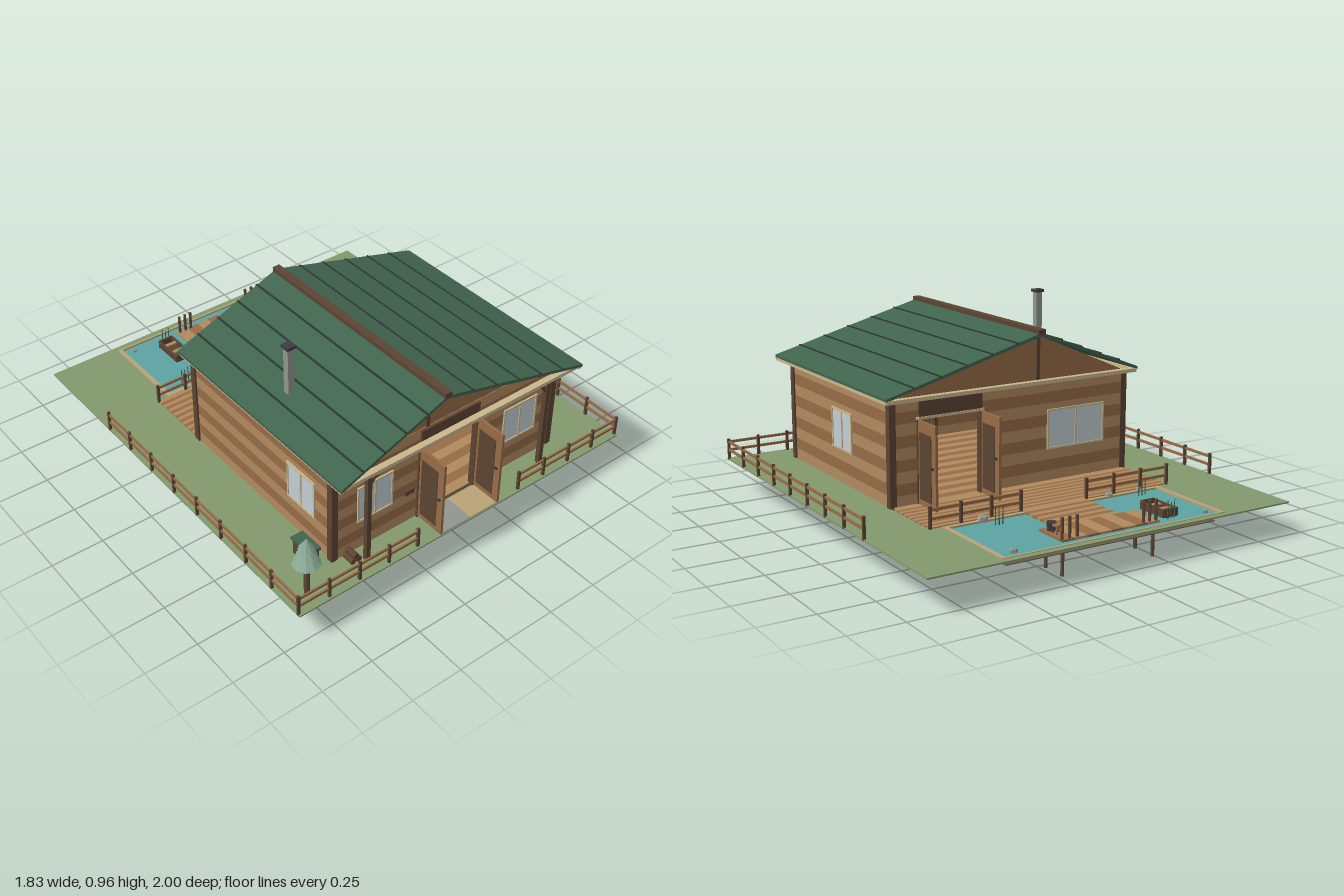
import * as THREE from 'three';

const C = { light: 0xb08a5e, mid: 0x976c46, dark: 0x5c4433, trim: 0xc9b68c, roof: 0x40644f, seam: 0x2c3a32,
  grass: 0x82986c, water: 0x5da3a3, sand: 0xb8a377, bed: 0x6b5c48, glass: 0xc3ced3, grey: 0x90958f, black: 0x3a3d40, soil: 0x3a2a20, pine: 0x86a693 };
const mats = {};
const mat = (c) => (mats[c] ??= new THREE.MeshStandardMaterial({ color: c, flatShading: true, side: THREE.DoubleSide }));

function add(parent, name, geo, color, x = 0, y = 0, z = 0) {
  const m = new THREE.Mesh(geo, mat(color));
  m.name = name;
  m.position.set(x, y, z);
  parent.add(m);
  return m;
}
// Box given by its limits on each axis
function box(p, name, color, x0, x1, y0, y1, z0, z1) {
  return add(p, name, new THREE.BoxGeometry(x1 - x0, y1 - y0, z1 - z0), color, (x0 + x1) / 2, (y0 + y1) / 2, (z0 + z1) / 2);
}
function cyl(p, name, color, x, y0, y1, z, r0, r1 = r0, n = 8) {
  return add(p, name, new THREE.CylinderGeometry(r1, r0, y1 - y0, n), color, x, (y0 + y1) / 2, z);
}
function prism(p, name, color, pts, z0, z1) {
  const s = new THREE.Shape(pts.map(([x, y]) => new THREE.Vector2(x, y)));
  return add(p, name, new THREE.ExtrudeGeometry(s, { depth: z1 - z0, bevelEnabled: false }), color, 0, 0, z0);
}
// Rectangle outline in plan (z flipped, because the shape is laid flat)
function plan(x0, x1, z0, z1, T = THREE.Path) {
  return new T([[x0, -z1], [x1, -z1], [x1, -z0], [x0, -z0]].map(([x, y]) => new THREE.Vector2(x, y)));
}
function flatRing(p, name, color, outer, holes, y, t) {
  const s = plan(...outer, THREE.Shape);
  holes.forEach((h) => s.holes.push(plan(...h)));
  const m = add(p, name, new THREE.ExtrudeGeometry(s, { depth: t, bevelEnabled: false }), color, 0, y, 0);
  m.rotation.x = -Math.PI / 2;
}
function group(p, name) {
  const g = new THREE.Group();
  g.name = name;
  p.add(g);
  return g;
}

// Wall of striped boards; axis 'x' or 'z', with an optional doorway [a, b, top]
function wall(p, name, axis, a, b, at, door) {
  const g = group(p, name), n = 9, y0 = 0.155, y1 = 0.635, t = 0.01;
  const cuts = Array.from({ length: n + 1 }, (_, i) => y0 + ((y1 - y0) * i) / n);
  if (door) cuts.push(door[2]);
  cuts.sort((u, v) => u - v);
  for (let i = 0; i < cuts.length - 1; i++) {
    const [lo, hi] = [cuts[i], cuts[i + 1]];
    const course = Math.floor(((lo + hi) / 2 - y0) / ((y1 - y0) / n));
    const spans = door && lo < door[2] - 1e-6 ? [[a, door[0]], [door[1], b]] : [[a, b]];
    for (const [s, e] of spans) {
      const col = course % 2 ? C.mid : C.light;
      if (axis === 'x') box(g, 'board', col, s, e, lo, hi, at - t, at + t);
      else box(g, 'board', col, at - t, at + t, lo, hi, s, e);
    }
  }
}

// Framed two-pane window centred on a wall
function windowUnit(p, x, y, z, w, h, turn) {
  const g = group(p, 'window');
  box(g, 'glass', C.glass, -w / 2, w / 2, -h / 2, h / 2, -0.013, 0.013);
  for (const s of [-1, 0, 1]) box(g, 'upright', C.trim, s * w / 2 - 0.004, s * w / 2 + 0.004, -h / 2, h / 2, -0.017, 0.017);
  for (const s of [-1, 1]) box(g, 'rail', C.trim, -w / 2 - 0.004, w / 2 + 0.004, s * h / 2 - 0.004, s * h / 2 + 0.004, -0.018, 0.018);
  g.position.set(x, y, z);
  if (turn) g.rotation.y = Math.PI / 2;
}

// Doorway frame with two leaves swung outwards
function doorway(p, name, x0, x1, zw, dir) {
  const g = group(p, name), zr = (a, b) => [zw + dir * a, zw + dir * b].sort((u, v) => u - v);
  for (const x of [x0, x1]) {
    box(g, 'jamb', C.dark, x - 0.01, x + 0.01, 0.155, 0.545, zw - 0.016, zw + 0.016);
    box(g, 'doorLeaf', C.mid, x - 0.006, x + 0.006, 0.163, 0.54, ...zr(0.012, 0.165));
    box(g, 'doorPanel', C.dark, x - 0.009, x + 0.009, 0.19, 0.49, ...zr(0.03, 0.13));
    box(g, 'handle', C.black, x - 0.015, x + 0.015, 0.345, 0.355, ...zr(0.138, 0.152));
  }
  box(g, 'lintel', C.trim, x0 - 0.01, x1 + 0.01, 0.54, 0.552, zw - 0.018, zw + 0.018);
  box(g, 'transom', C.dark, x0, x1, 0.552, 0.628, zw - 0.015, zw + 0.015);
}

// Two-rail fence between two plan points
function fence(p, xa, za, xb, zb, n) {
  const g = group(p, 'fence'), len = Math.hypot(xb - xa, zb - za);
  for (let i = 0; i <= n; i++) box(g, 'fencePost', C.dark, i * len / n - 0.006, i * len / n + 0.006, 0.15, 0.255, -0.006, 0.006);
  for (const y of [0.2, 0.24]) box(g, 'fenceRail', C.mid, 0, len, y - 0.006, y + 0.006, -0.004, 0.004);
  g.position.set(xa, 0, za);
  g.rotation.y = -Math.atan2(zb - za, xb - xa);
}

export function createModel() {
  const root = new THREE.Group();
  root.name = 'lakeCabin';

  // Grounds and pond
  flatRing(root, 'lawn', C.grass, [-0.92, 0.91, -1, 1], [[-0.63, 0.62, -0.5, 0.84], [-0.57, 0.56, -0.97, -0.51]], 0.149, 0.007);
  flatRing(root, 'pondBank', C.sand, [-0.575, 0.56, -0.97, -0.505], [[-0.553, 0.538, -0.96, -0.525]], 0.145, 0.014);
  box(root, 'water', C.water, -0.555, 0.54, 0.144, 0.15, -0.962, -0.523);
  box(root, 'pondBed', C.bed, -0.54, 0.53, 0.117, 0.121, -0.95, -0.53);
  box(root, 'doorstepStone', C.grey, -0.17, 0, 0.15, 0.16, 0.85, 0.995);
  box(root, 'doorstepSand', C.sand, 0, 0.155, 0.15, 0.16, 0.85, 0.995);

  // Floor, deck and dock
  const deck = group(root, 'deck');
  box(deck, 'houseBase', C.soil, -0.63, 0.62, 0.14, 0.152, -0.2, 0.84);
  box(deck, 'deckBase', C.dark, -0.63, 0.62, 0.14, 0.152, -0.5, -0.2);
  const planksZ = (name, x0, x1, z0, z1, n) => {
    const d = (z1 - z0) / n;
    for (let i = 0; i < n; i++) box(deck, name, i % 2 ? C.mid : C.light, x0, x1, 0.152, 0.162, z0 + i * d, z0 + (i + 1) * d);
  };
  planksZ('floorPlank', -0.62, 0.61, -0.2, 0.83, 21);
  planksZ('deckPlank', -0.63, 0.62, -0.5, -0.2, 15);
  planksZ('dockPlank', -0.17, 0.16, -0.75, -0.5, 9);
  for (let i = 0; i < 8; i++) box(deck, 'headPlank', i % 2 ? C.mid : C.light, -0.26 + i * 0.0625, -0.26 + (i + 1) * 0.0625, 0.152, 0.162, -0.92, -0.75);
  for (const x of [-0.165, 0.145]) for (const z of [-0.375, -0.54, -0.625]) cyl(deck, 'pile', C.dark, x, 0, 0.155, z, 0.008);
  for (const x of [-0.24, 0.225]) for (const z of [-0.78, -0.9]) cyl(deck, 'pile', C.dark, x, 0, 0.155, z, 0.008);
  for (const x of [-0.505, -0.25, 0.245, 0.49]) cyl(deck, 'stubPile', C.dark, x, 0.08, 0.155, -0.19, 0.009);
  for (const x of [-0.245, -0.212, -0.18, 0.16, 0.198, 0.235]) cyl(deck, 'mooringPost', C.dark, x, 0.155, 0.255, -0.91, 0.007);

  // Walls with corner posts, windows and doorways
  const house = group(root, 'house');
  wall(house, 'frontWall', 'x', -0.62, 0.61, 0.83, [-0.17, 0.155, 0.545]);
  wall(house, 'backWall', 'x', -0.62, 0.61, -0.165, [0.165, 0.485, 0.545]);
  wall(house, 'rightWall', 'z', -0.155, 0.82, -0.62);
  wall(house, 'leftWall', 'z', -0.155, 0.82, 0.61);
  for (const x of [-0.622, 0.612]) for (const z of [-0.16, 0.828]) box(house, 'cornerPost', C.dark, x - 0.016, x + 0.016, 0.15, 0.635, z - 0.016, z + 0.016);
  windowUnit(house, -0.41, 0.4, 0.83, 0.18, 0.18);
  windowUnit(house, 0.41, 0.4, 0.83, 0.19, 0.18);
  windowUnit(house, -0.345, 0.405, -0.165, 0.31, 0.18);
  windowUnit(house, 0.61, 0.41, 0.295, 0.19, 0.18, true);
  windowUnit(house, -0.62, 0.41, 0.63, 0.18, 0.18, true);
  doorway(house, 'frontDoorway', -0.17, 0.155, 0.835, 1);
  doorway(house, 'backDoorway', 0.165, 0.485, -0.168, -1);

  // Porch posts with braces, eaves beams
  for (const [x, s] of [[-0.505, 1], [0.49, -1]]) {
    box(house, 'porchPost', C.dark, x - 0.011, x + 0.011, 0.14, 0.635, 0.9, 0.922);
    const b = add(house, 'brace', new THREE.BoxGeometry(0.014, 0.1, 0.014), C.dark, x + s * 0.03, 0.595, 0.911);
    b.rotation.z = -s * 0.7;
  }
  for (const z of [-0.195, 0.925]) box(house, 'eavesBeam', C.trim, -0.67, 0.655, 0.628, 0.645, z - 0.015, z + 0.015);
  for (const x of [-0.665, 0.65]) box(house, 'gutter', C.trim, x - 0.008, x + 0.008, 0.628, 0.642, -0.2, 0.945);

  // Roof with uneven slopes, lap seams and ridge cap
  const roof = group(house, 'roof'), rx = -0.135, ry = 0.865;
  for (const z of [-0.165, 0.83]) {
    prism(roof, 'gable', C.mid, [[-0.63, 0.633], [0.62, 0.633], [rx, 0.85]], z - 0.008, z + 0.008);
    box(roof, 'kingPost', C.dark, rx - 0.009, rx + 0.009, 0.635, 0.845, z - 0.014, z + 0.014);
  }
  for (const [ex, n] of [[-0.677, 5], [0.657, 6]]) {
    prism(roof, 'roofSlope', C.roof, [[ex, 0.64], [rx, ry - 0.016], [rx, ry], [ex, 0.654]], -0.208, 0.953);
    for (let i = 1; i < n; i++) {
      const t = i / n, x = rx + (ex - rx) * t, y = ry + (0.654 - ry) * t;
      box(roof, 'lapSeam', C.seam, x - 0.004, x + 0.004, y - 0.004, y + 0.004, -0.208, 0.953);
    }
  }
  box(roof, 'ridgeCap', C.dark, rx - 0.018, rx + 0.018, 0.855, 0.88, -0.21, 0.955);
  box(roof, 'chimney', C.grey, -0.525, -0.493, 0.66, 0.945, 0.375, 0.407);
  box(roof, 'chimneyCap', C.black, -0.532, -0.486, 0.943, 0.957, 0.368, 0.414);

  // Small fittings inside and on the front wall
  for (const x of [-0.12, -0.045, 0.025]) box(house, 'picture', C.trim, x - 0.017, x + 0.017, 0.4, 0.422, -0.155, -0.148);
  box(house, 'wallLantern', C.black, 0.187, 0.213, 0.432, 0.472, 0.84, 0.865);
  box(house, 'lanternGlass', C.glass, 0.192, 0.208, 0.438, 0.464, 0.85, 0.868);
  box(house, 'letterBox', C.dark, -0.255, -0.207, 0.322, 0.345, 0.84, 0.858);
  for (const [x, y] of [[-0.57, 0.168], [-0.54, 0.168], [-0.555, 0.19]]) {
    cyl(house, 'firewood', C.dark, x, -0.03, 0.03, 0, 0.014).rotation.x = Math.PI / 2;
    house.children.at(-1).position.set(x, y, 0.875);
  }

  // Fences
  fence(root, -0.915, 0.985, -0.915, -0.47, 8);
  fence(root, 0.905, 0.985, 0.905, -0.47, 8);
  fence(root, -0.915, 0.985, -0.29, 0.985, 4);
  fence(root, 0.29, 0.985, 0.905, 0.985, 4);
  fence(root, -0.63, -0.5, -0.18, -0.5, 3);
  fence(root, 0.165, -0.5, 0.615, -0.5, 3);

  // Storage chest and pine tree
  box(root, 'chest', C.dark, -0.727, -0.675, 0.152, 0.23, 0.695, 0.805);
  box(root, 'chestLid', C.roof, -0.732, -0.67, 0.23, 0.243, 0.688, 0.815);
  const tree = group(root, 'pineTree');
  cyl(tree, 'trunk', C.dark, -0.82, 0.15, 0.34, 0.915, 0.013);
  [[0.325, 0.385, 0.062], [0.365, 0.42, 0.048], [0.405, 0.455, 0.036]].forEach(([a, b, r]) => cyl(tree, 'foliage', C.pine, -0.82, a, b, 0.915, r, 0.002, 9));

  // Rowing boat
  const boat = group(root, 'rowingBoat');
  box(boat, 'bottom', C.dark, -0.385, -0.315, 0.148, 0.156, -0.88, -0.72);
  for (const x of [-0.386, -0.314]) box(boat, 'side', C.dark, x - 0.005, x + 0.005, 0.148, 0.185, -0.88, -0.72);
  for (const z of [-0.878, -0.722]) box(boat, 'end', C.dark, -0.386, -0.314, 0.148, 0.188, z - 0.005, z + 0.005);
  for (const z of [-0.835, -0.77]) box(boat, 'seat', C.light, -0.386, -0.314, 0.172, 0.179, z - 0.01, z + 0.01);

  // Stones, reeds, and a stool with a bucket on the dock
  for (const [x, z, r] of [[-0.51, -0.92, 0.012], [0.47, -0.915, 0.017], [-0.465, -0.51, 0.013], [-0.3, -0.51, 0.018], [0.365, -0.51, 0.024]])
    add(root, 'stone', new THREE.DodecahedronGeometry(r), C.grey, x, 0.16, z);
  for (const [x, z] of [[-0.44, -0.565], [0.33, -0.585], [-0.34, -0.895]])
    for (let i = -1; i < 2; i++) cyl(root, 'reed', C.roof, x + i * 0.018, 0.148, 0.22 + 0.012 * (i & 1), z, 0.003, 0.002, 5);
  cyl(root, 'bucket', C.black, 0.205, 0.162, 0.2, -0.79, 0.018, 0.022, 10);
  box(root, 'stoolSeat', C.mid, 0.187, 0.223, 0.192, 0.2, -0.855, -0.82);
  for (const x of [0.191, 0.219]) for (const z of [-0.851, -0.824]) cyl(root, 'stoolLeg', C.dark, x, 0.16, 0.193, z, 0.003, 0.003, 5);
  return root;
}
